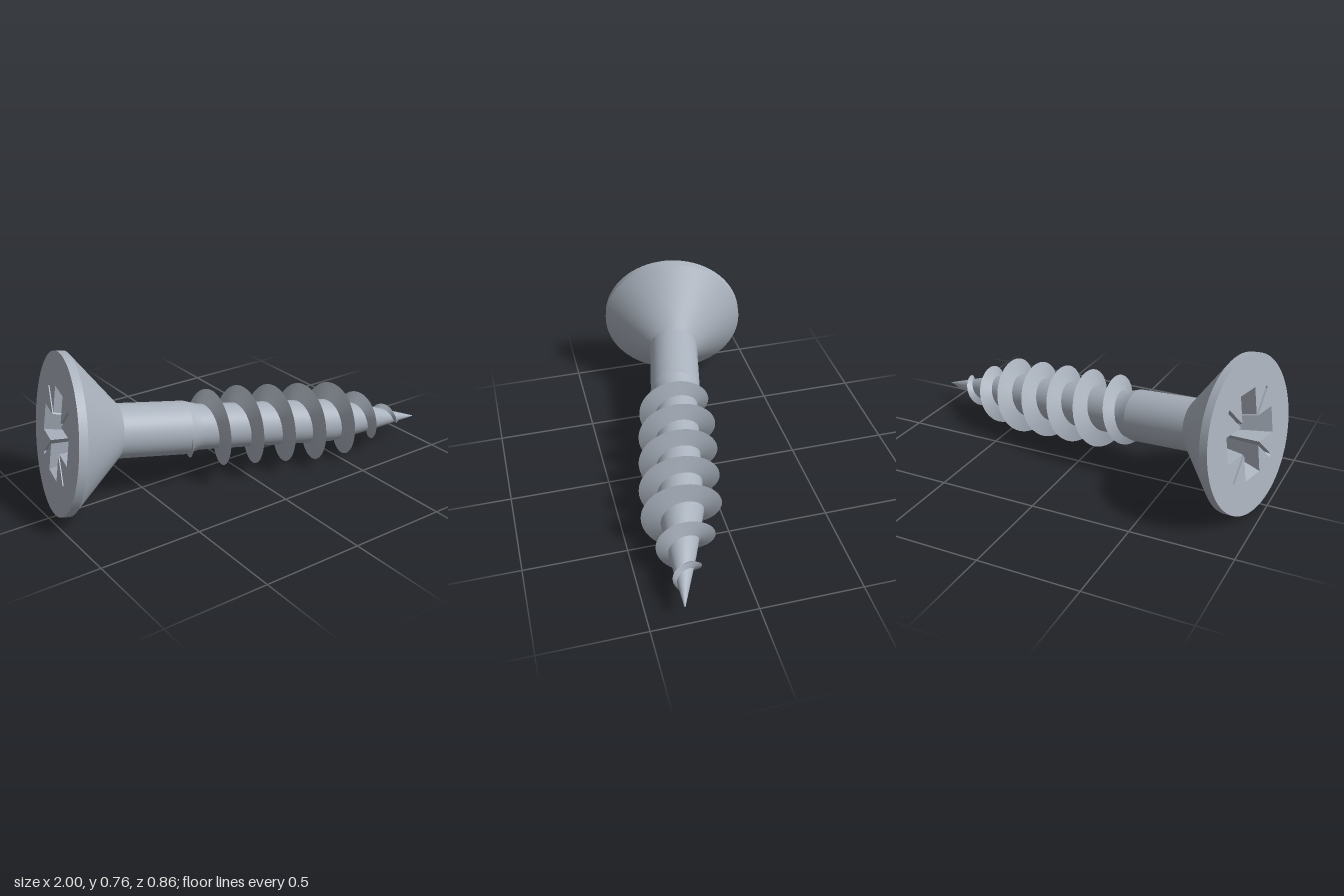
import * as THREE from 'three';

const LENGTH = 1.967;      // face of the head to the tip
const HEAD_R = 0.38;
const PITCH = 0.1725;

// Piecewise-linear lookup in a list of [position, radius]
function lookup(table, s) {
  for (let i = 1; i < table.length; i++) {
    const [s0, r0] = table[i - 1], [s1, r1] = table[i];
    if (s <= s1) return r0 + (r1 - r0) * Math.max(0, (s - s0) / (s1 - s0));
  }
  return table[table.length - 1][1];
}

const CORE = [[0.625, 0.13], [0.7, 0.112], [1.44, 0.11], [1.7, 0.062], [LENGTH, 0.002]];
const CREST = [[0.6, 0.118], [0.668, 0.152], [0.757, 0.187], [0.84, 0.196], [1.46, 0.197],
  [1.53, 0.174], [1.617, 0.14], [1.7, 0.104], [1.79, 0.067], [1.86, 0.036], [1.93, 0.008]];

// Surface between two rows of points
function strip(a, b, flat = false) {
  const n = a.length, index = [];
  for (let i = 0; i < n - 1; i++) index.push(i, i + 1, n + i, i + 1, n + i + 1, n + i);
  let g = new THREE.BufferGeometry().setFromPoints([...a, ...b]);
  g.setIndex(index);
  if (flat) g = g.toNonIndexed();
  g.computeVertexNormals();
  return g;
}

// Cross with four wide arms and four thin diagonal slots
function recessOutline(armLength, armHalf, slotEnd, slotHalf) {
  const q = Math.SQRT1_2, pts = [];
  const arm = [
    [armLength, -armHalf], [armLength, armHalf],
    [armHalf + slotHalf / q, armHalf],
    [(slotEnd + slotHalf) * q, (slotEnd - slotHalf) * q],
    [(slotEnd - slotHalf) * q, (slotEnd + slotHalf) * q],
    [armHalf, armHalf + slotHalf / q],
  ];
  for (let k = 0; k < 4; k++) {
    for (const [x, y] of arm) {
      pts.push(new THREE.Vector2(x, y).rotateAround(new THREE.Vector2(), k * Math.PI / 2));
    }
  }
  return pts;
}

export function createModel() {
  const steel = new THREE.MeshStandardMaterial({ color: 0xa9b1bc });
  steel.name = 'steel grey';
  const screw = new THREE.Group();
  screw.name = 'screw';

  const add = (name, geometry) => {
    const mesh = new THREE.Mesh(geometry, steel);
    mesh.name = name;
    screw.add(mesh);
  };
  const turned = (name, profile) => add(name,
    new THREE.LatheGeometry(profile.map(([s, r]) => new THREE.Vector2(r, s)), 72));

  // Turned body, one piece per crease
  turned('headRim', [[0, HEAD_R], [0.04, HEAD_R]]);
  turned('headCone', [[0.04, HEAD_R], [0.285, 0.13]]);
  turned('shank', [[0.285, 0.13], [0.625, 0.13]]);
  turned('core', CORE);

  // Head face with the driver recess cut out
  const mouth = recessOutline(0.21, 0.066, 0.25, 0.009);
  const bottom = recessOutline(0.1, 0.042, 0.085, 0.006);
  const depth = 0.22;
  const face = new THREE.Shape().absarc(0, 0, HEAD_R, 0, Math.PI * 2);
  face.holes.push(new THREE.Path(mouth));
  add('headFace', new THREE.ShapeGeometry(face, 72).rotateX(Math.PI / 2));

  const ring = (pts, s) => [...pts, pts[0]].map(p => new THREE.Vector3(p.x, s, p.y));
  add('recessWalls', strip(ring(mouth, 0), ring(bottom, depth), true));
  add('recessFloor', new THREE.ShapeGeometry(new THREE.Shape(bottom))
    .rotateX(Math.PI / 2).translate(0, depth, 0));

  // Right-handed thread: two flanks meeting at a sharp crest
  const back = [], crest = [], front = [];
  const start = 0.6, end = 1.93, steps = 560;
  for (let i = 0; i <= steps; i++) {
    const s = start + (end - start) * i / steps;
    const angle = (s - 0.928) / PITCH * Math.PI * 2;
    const at = (r, y) => new THREE.Vector3(r * Math.cos(angle), y, -r * Math.sin(angle));
    const r = lookup(CREST, s);
    const half = 0.006 + 0.024 * Math.min(1, Math.max(0, r - lookup(CORE, s)) / 0.06);
    back.push(at(lookup(CORE, s - half) * 0.97, s - half));
    crest.push(at(r, s));
    front.push(at(lookup(CORE, s + half) * 0.97, s + half));
  }
  add('threadRearFlank', strip(back, crest));
  add('threadFrontFlank', strip(crest, front));

  // Tilt the axis so the screw lies resting on its head and thread
  const axis = new THREE.Vector3(1, -0.142, 0.21).normalize();
  const side = new THREE.Vector3().crossVectors(axis, new THREE.Vector3(0, 1, 0)).normalize();
  const up = new THREE.Vector3().crossVectors(side, axis);
  screw.quaternion.setFromRotationMatrix(
    new THREE.Matrix4().makeBasis(up, axis, side.clone().negate()));
  screw.position.set(-0.906, 0.386, -0.058);

  const model = new THREE.Group();
  model.name = 'countersunkScrew';
  model.add(screw);
  return model;
}
